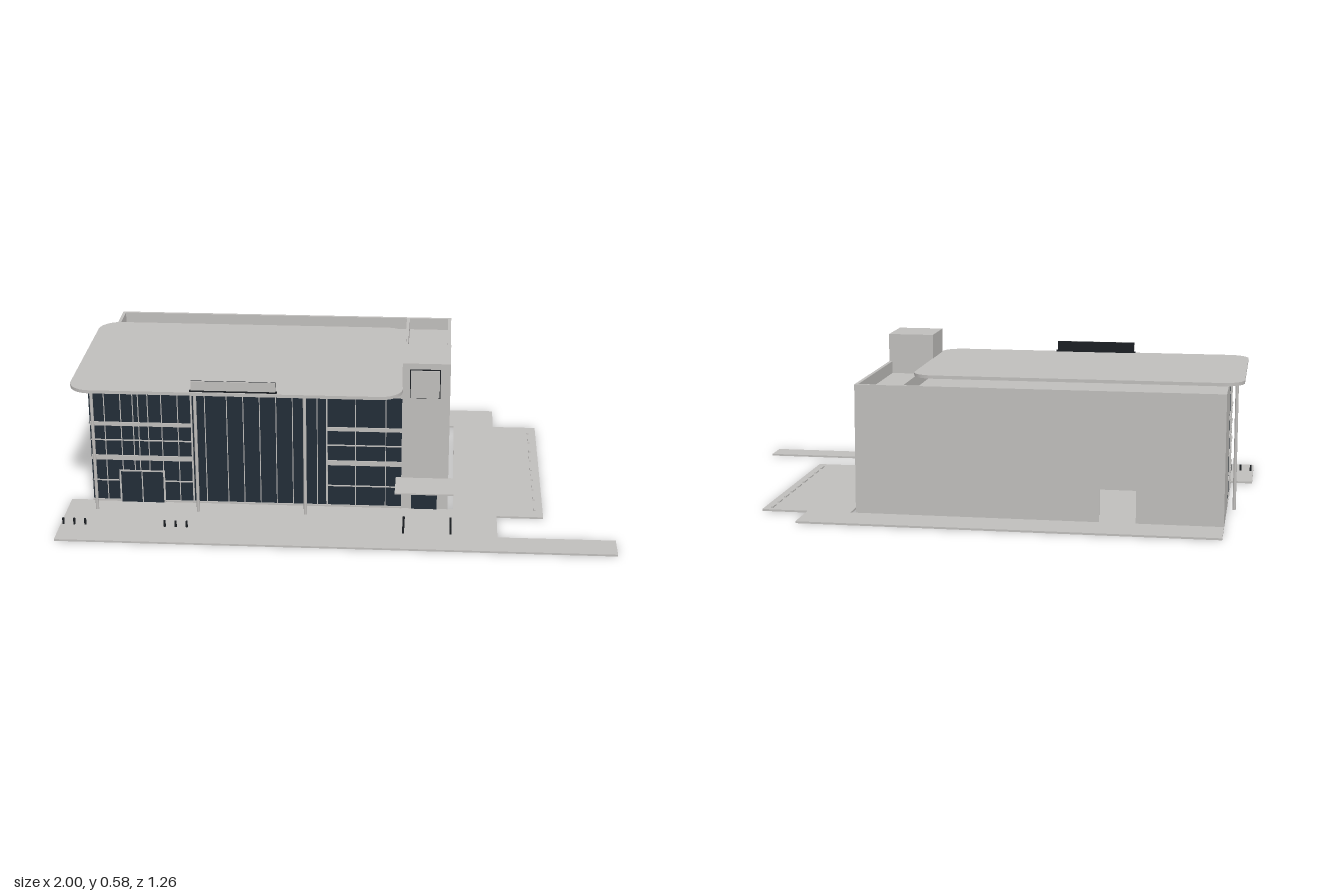
import * as THREE from 'three';

const mat = (name, color, extra = {}) => {
  const m = new THREE.MeshStandardMaterial({ color, ...extra });
  m.name = name;
  return m;
};

export function createModel() {
  const model = new THREE.Group();
  const concrete = mat('concrete', 0xbfbdbb);
  const glass = mat('darkGlass', 0x222d37);
  const dark = mat('darkMetal', 0x1b1f23);

  const add = (name, geometry, material, parent = model) => {
    const mesh = new THREE.Mesh(geometry, material);
    mesh.name = name;
    parent.add(mesh);
    return mesh;
  };
  const group = (name) => {
    const g = new THREE.Group();
    g.name = name;
    model.add(g);
    return g;
  };
  // Box given by its limits on each axis
  const box = (name, [x0, x1], [y0, y1], [z0, z1], material = concrete, parent = model) => {
    const g = new THREE.BoxGeometry(x1 - x0, y1 - y0, z1 - z0);
    g.translate((x0 + x1) / 2, (y0 + y1) / 2, (z0 + z1) / 2);
    return add(name, g, material, parent);
  };
  const path = (pts) => pts.map(([x, z]) => new THREE.Vector2(x, -z));
  // Horizontal slab from a plan outline
  const slab = (name, shape, y, h, parent = model) => {
    const g = new THREE.ExtrudeGeometry(shape, { depth: h, bevelEnabled: false, curveSegments: 10 });
    g.rotateX(-Math.PI / 2).translate(0, y, 0);
    return add(name, g, concrete, parent);
  };

  const G = 0.007, TOP = 0.476, T = 0.012;
  const L = -0.918, R = 0.4, B = -0.465, F = 0.304, MID = 0.23;

  // Paving with an open slot along the right wing
  const ground = new THREE.Shape(path([
    [-1, 0.3], [-1, 0.628], [1, 0.628], [1, 0.52], [0.58, 0.52], [0.58, 0.35], [0.75, 0.35],
    [0.75, -0.465], [0.58, -0.465], [0.58, -0.628], [-0.918, -0.628], [-0.918, 0.3],
  ]));
  ground.holes.push(new THREE.Path(path([[0.24, B], [0.42, B], [0.42, 0.3], [0.24, 0.3]])));
  slab('paving', ground, 0, G);

  // Parking stops along the side lot
  const stops = group('parkingStops');
  for (let i = 0; i < 9; i++) {
    const z = -0.42 + i * 0.087;
    box('parkingStop', [0.716, 0.724], [G, G + 0.005], [z - 0.024, z + 0.024], concrete, stops);
  }

  // Back wall with a service opening
  const back = new THREE.Shape(path([[L, 0], [R, 0], [R, -TOP], [L, -TOP]]));
  back.holes.push(new THREE.Path(path([[-0.61, -G], [-0.48, -G], [-0.48, -0.125], [-0.61, -0.125]])));
  add('backWall', new THREE.ExtrudeGeometry(back, { depth: T, bevelEnabled: false }).translate(0, 0, B), concrete);

  // Solid walls and recessed roof
  const walls = group('walls');
  box('rightWall', [R - T, R], [0.002, TOP], [B + T, F], concrete, walls);
  box('innerWall', [MID - T / 2, MID + T / 2], [0.002, TOP], [B + T, F - T], concrete, walls);
  box('leftWall', [L, L + T], [G, TOP], [B + T, -0.09], concrete, walls);
  box('leftFascia', [L, L + T], [0.445, TOP], [-0.09, F], concrete, walls);
  box('frontFascia', [L + T, MID], [0.445, TOP], [F - T, F], concrete, walls);
  box('roofDeck', [L + T, R - T], [0.42, 0.43], [B + T, F - T], concrete, walls);

  // Tower with its sign panel
  const tower = group('tower');
  box('towerTop', [0.228, R], [0.43, 0.582], [0.108, F], concrete, tower);
  box('towerFront', [0.228, R - T], [0.002, 0.43], [F - T, F], concrete, tower);
  box('towerPanelBacking', [0.255, 0.365], [0.45, 0.56], [F, F + 0.004], dark, tower);
  box('towerPanel', [0.258, 0.362], [0.453, 0.557], [F + 0.004, F + 0.009], concrete, tower);
  box('towerDoor', [0.265, 0.36], [G, 0.11], [F, F + 0.003], glass, tower);
  box('doorCanopy', [0.208, 0.42], [0.127, 0.132], [F - 0.004, 0.438], concrete, tower);

  // Front curtain wall
  const front = group('frontGlazing');
  box('frontGlass', [L + 0.004, MID], [G, 0.445], [F - 0.008, F - 0.002], glass, front);
  const bar = (x0, x1, y0, y1) => box('frontBar', [x0, x1], [y0, y1], [F - 0.002, F + 0.002], concrete, front);
  for (const [x0, x1] of [[-0.914, -0.54], [-0.045, MID]]) {
    bar(x0, x1, 0.312, 0.327);
    bar(x0, x1, 0.175, 0.194);
    for (const y of [0.255, 0.092]) bar(x0, x1, y - 0.002, y + 0.002);
  }
  for (const x of [-0.86, -0.8, -0.755, -0.735, -0.7, -0.65, -0.59, -0.49, -0.41, -0.35, -0.29,
    -0.23, -0.17, -0.08, 0.06, 0.17]) bar(x - 0.0015, x + 0.0015, G, 0.445);
  for (const x of [-0.54, -0.045]) bar(x - 0.003, x + 0.003, G, 0.445);
  bar(L, MID, G, 0.014);

  // Main entrance
  const entry = group('entrance');
  box('entranceFrame', [-0.815, -0.645], [G, 0.136], [F + 0.002, F + 0.004], concrete, entry);
  box('entranceGlass', [-0.808, -0.652], [G, 0.13], [F + 0.004, F + 0.006], glass, entry);
  box('entrancePost', [-0.732, -0.728], [G, 0.13], [F + 0.006, F + 0.007], concrete, entry);

  // Side curtain wall
  const side = group('sideGlazing');
  box('sideGlass', [L + 0.002, L + 0.008], [G, 0.445], [-0.09, F - 0.002], glass, side);
  const sideBar = (y0, y1, z0, z1) => box('sideBar', [L - 0.002, L + 0.002], [y0, y1], [z0, z1], concrete, side);
  for (const y of [0.092, 0.185, 0.255, 0.32]) sideBar(y - 0.002, y + 0.002, -0.09, F);
  for (const z of [0.04, 0.17]) sideBar(G, 0.445, z - 0.002, z + 0.002);

  // Floating roof with rounded corners
  const x0 = -0.973, x1 = 0.23, z0 = -0.305, z1 = 0.4, r = 0.08, H = Math.PI / 2;
  const roof = new THREE.Shape();
  roof.absarc(x1 - r, -z0 - r, r, 0, H);
  roof.absarc(x0 + r, -z0 - r, r, H, 2 * H);
  roof.absarc(x0 + r, -z1 + r, r, 2 * H, 3 * H);
  roof.absarc(x1 - r, -z1 + r, r, 3 * H, 4 * H);
  slab('floatingRoof', roof, 0.478, 0.012);

  // Slim columns under the roof edge
  const columns = group('columns');
  for (const [x, z] of [[-0.89, 0.374], [-0.515, 0.374], [-0.12, 0.374], [-0.945, -0.19]]) {
    add('column', new THREE.CylinderGeometry(0.006, 0.006, 0.478 - G, 16), concrete, columns)
      .position.set(x, (0.478 + G) / 2, z);
  }

  // Sign board on the roof edge
  const sign = group('roofSign');
  box('signBoard', [-0.525, -0.222], [0.496, 0.531], [0.39, 0.394], concrete, sign);
  box('signBack', [-0.525, -0.222], [0.496, 0.531], [0.386, 0.39], dark, sign);
  box('signBase', [-0.53, -0.217], [0.49, 0.496], [0.384, 0.394], dark, sign);

  // Bollards in rows of three
  const bollards = group('bollards');
  const spots = [];
  for (let i = 0; i < 3; i++) {
    spots.push([-0.99 + i * 0.04, 0.505], [-0.62 + i * 0.04, 0.505]);
    spots.push([0.242, 0.423 + i * 0.041], [0.412, 0.423 + i * 0.041]);
  }
  for (const [x, z] of spots) {
    add('bollard', new THREE.CylinderGeometry(0.004, 0.004, 0.024, 10), dark, bollards)
      .position.set(x, G + 0.012, z);
  }
  return model;
}
